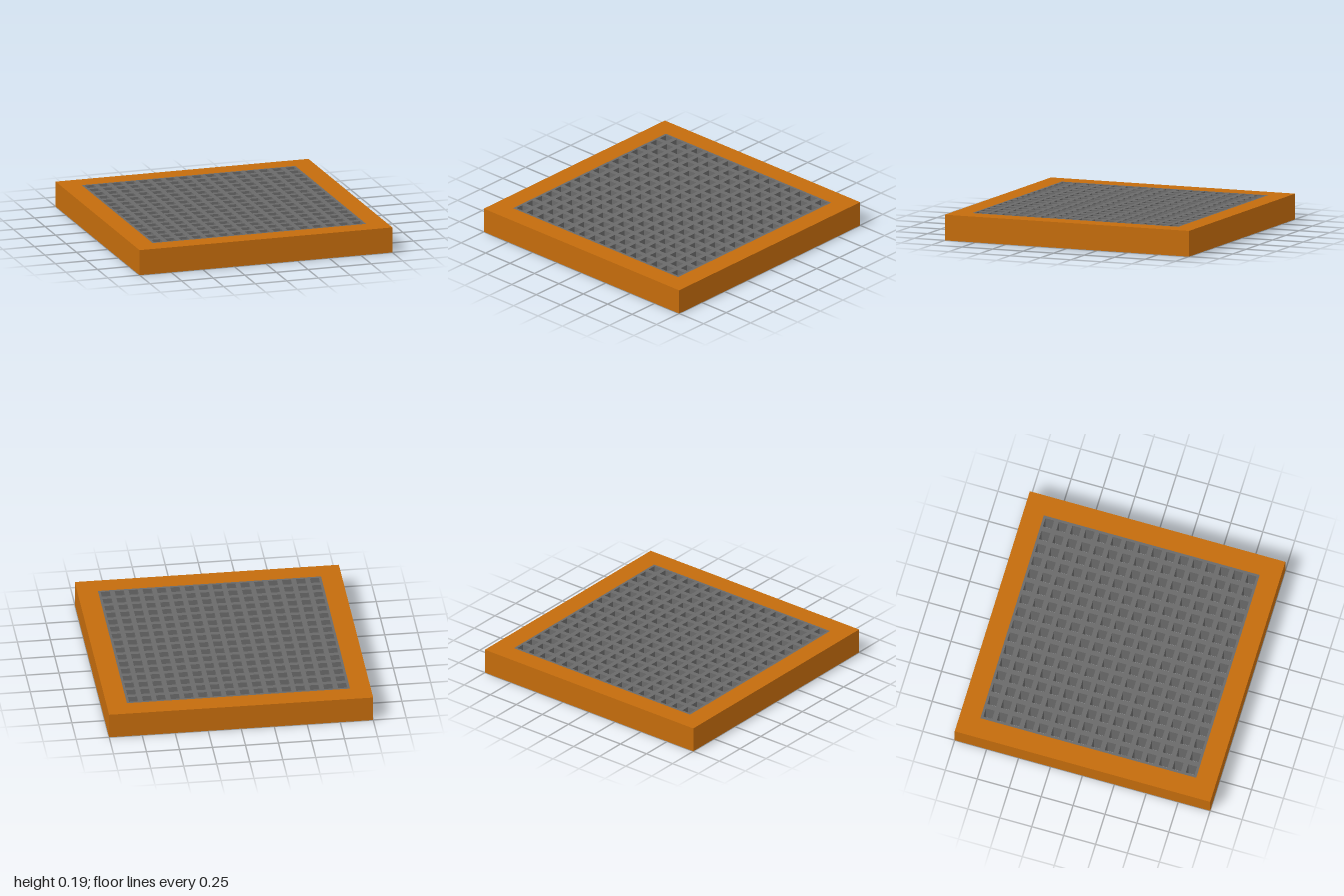
import * as THREE from 'three';

const HEIGHT = 0.195;
const INNER = 0.845; // half width of the opening
const CELLS = 16;
const PITCH = (2 * INNER) / CELLS;
const HOLE = 0.069;

// Closed square outline centred on (x, y)
function square(target, x, y, half) {
  target.moveTo(x - half, y - half);
  target.lineTo(x + half, y - half);
  target.lineTo(x + half, y + half);
  target.lineTo(x - half, y + half);
  target.closePath();
  return target;
}

// Upright slab standing on y = 0
function slab(name, shape, color) {
  const geometry = new THREE.ExtrudeGeometry(shape, { depth: HEIGHT, bevelEnabled: false });
  geometry.rotateX(-Math.PI / 2);
  const mesh = new THREE.Mesh(geometry, new THREE.MeshStandardMaterial({ color }));
  mesh.name = name;
  return mesh;
}

export function createModel() {
  const model = new THREE.Group();
  model.name = 'framedGrate';

  // Square outer frame
  const frame = square(new THREE.Shape(), 0, 0, 1);
  frame.holes.push(square(new THREE.Path(), 0, 0, INNER));
  model.add(slab('frame', frame, 0xc46c0c));

  // Grate with a regular field of square through-holes
  const grate = square(new THREE.Shape(), 0, 0, INNER);
  for (let i = 0; i < CELLS; i++) {
    for (let j = 0; j < CELLS; j++) {
      const x = -INNER + (i + 0.5) * PITCH;
      const y = -INNER + (j + 0.5) * PITCH;
      grate.holes.push(square(new THREE.Path(), x, y, HOLE / 2));
    }
  }
  model.add(slab('grate', grate, 0x6a6a6a));

  return model;
}
